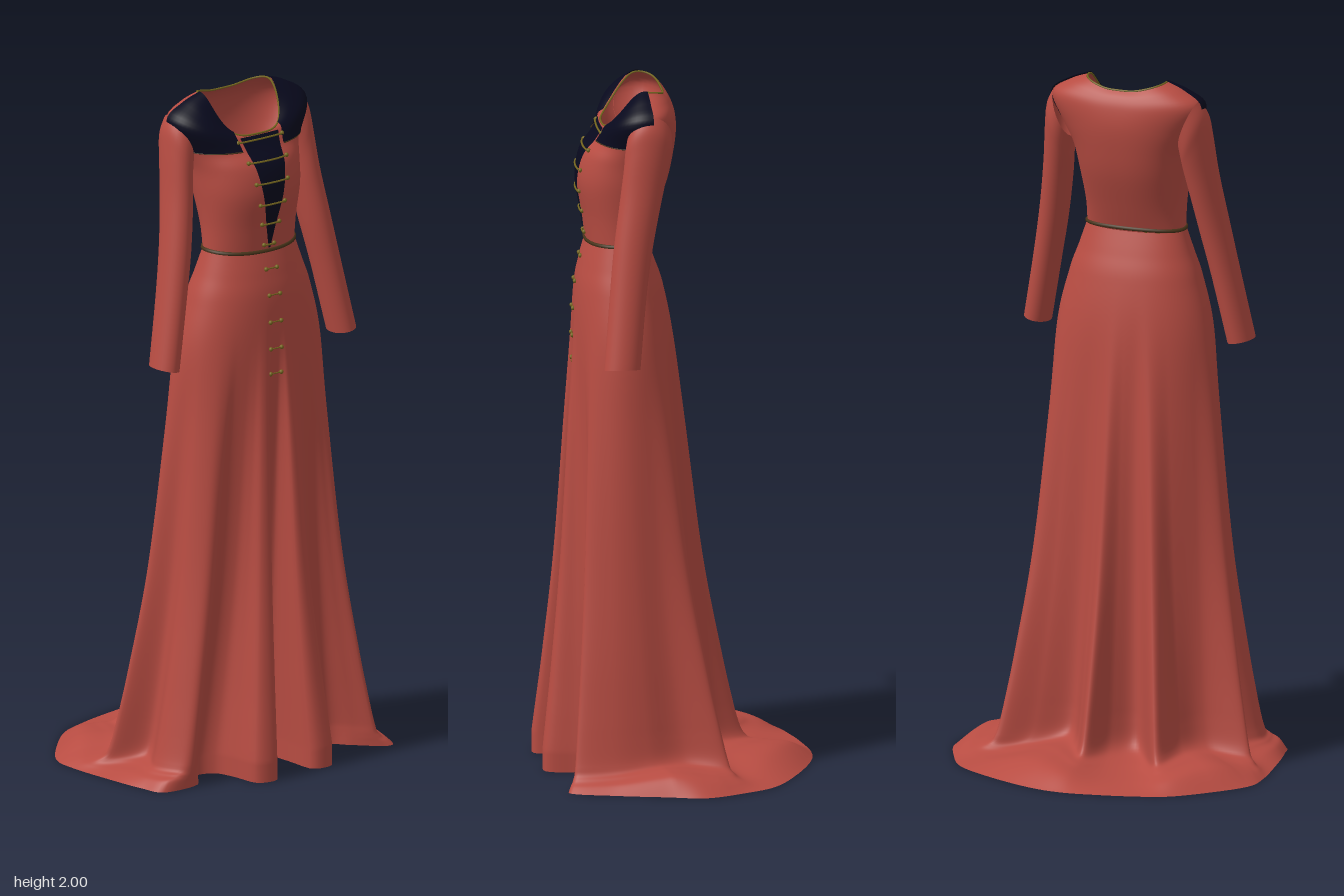
import * as THREE from 'three';

const { degToRad, lerp, clamp } = THREE.MathUtils;
const cloth = (color) => new THREE.MeshStandardMaterial({ color, side: THREE.DoubleSide });
const redCloth = cloth(0xb74c42);
const navyCloth = cloth(0x08091d);
const goldTrim = new THREE.MeshStandardMaterial({ color: 0x75661f });
const darkCord = new THREE.MeshStandardMaterial({ color: 0x48341a });

// Smooth interpolation through a list of rows, v from 0 to 1
function rowAt(rows, v) {
  const f = clamp(v, 0, 1) * (rows.length - 1);
  const i = Math.min(Math.floor(f), rows.length - 2), t = f - i;
  const at = (k) => rows[clamp(k, 0, rows.length - 1)];
  return at(i).map((b, k) => {
    const a = at(i - 1)[k], c = at(i + 1)[k], d = at(i + 2)[k];
    return b + 0.5 * t * (c - a + t * (2 * a - 5 * b + 4 * c - d + t * (3 * (b - c) + d - a)));
  });
}

// Radius of a rounded-square outline in direction phi (0 = front, toward +x)
function outline(phi, a, front, back, n) {
  const s = Math.abs(Math.sin(phi)) / a, c = Math.cos(phi);
  return (s ** n + (Math.abs(c) / (c > 0 ? front : back)) ** n) ** (-1 / n);
}

// Bodice rows, waist to neckline: front y, side y, back y, half width, front z, back z, centre z, squareness
const bodiceRows = [
  [1.54, 1.545, 1.55, 0.148, 0.25, 0.078, 0.15, 2.1],
  [1.62, 1.62, 1.62, 0.149, 0.26, 0.052, 0.15, 2.2],
  [1.72, 1.72, 1.72, 0.16, 0.275, 0.017, 0.14, 2.3],
  [1.80, 1.79, 1.80, 0.17, 0.262, 0, 0.12, 2.3],
  [1.845, 1.85, 1.87, 0.194, 0.23, -0.008, 0.1, 2.2],
  [1.87, 1.935, 1.925, 0.23, 0.213, -0.002, 0.09, 2.25],
  [1.88, 1.976, 1.957, 0.178, 0.208, 0.012, 0.09, 2.4],
  [1.885, 1.998, 1.975, 0.12, 0.205, 0.03, 0.09, 2.6],
];
function bodiceAt(phi, v) {
  const [yF, yS, yB, a, zF, zB, zc, n] = rowAt(bodiceRows, v);
  const c = Math.cos(phi), w = 1 - (1 - c * c) ** 2.5;
  const r = outline(phi, a, zF - zc, zc - zB, n);
  return new THREE.Vector3(r * Math.sin(phi), yS + ((c > 0 ? yF : yB) - yS) * w, zc + r * c);
}

// Fold line of the skirt near the floor: hip angle, x, z, then x, z of the spread hem
const foldLine = [
  [0, 0, 0.18], [5, 0.04, 0.2], [9, 0.055, 0.28], [13, 0.067, 0.37], [19, 0.135, 0.375],
  [26, 0.157, 0.29], [34, 0.178, 0.235], [46, 0.24, 0.22], [54, 0.29, 0.27], [61, 0.335, 0.31, 0.38, 0.335],
  [73, 0.345, 0.2, 0.425, 0.2], [86, 0.33, 0.1, 0.455, 0.06], [100, 0.3, 0, 0.477, -0.05],
  [115, 0.315, -0.125, 0.435, -0.16], [130, 0.22, -0.08, 0.37, -0.26], [150, 0.12, -0.04, 0.24, -0.335],
  [167, 0.06, -0.13, 0.1, -0.388], [177, 0.015, -0.195, 0, -0.4], [190, -0.03, -0.1, -0.1, -0.385],
  [202, -0.1, -0.06, -0.2, -0.36], [215, -0.2, -0.185, -0.3, -0.32], [230, -0.23, -0.07, -0.4, -0.225],
  [250, -0.28, 0, -0.47, -0.13], [265, -0.4, 0.03, -0.476, -0.04], [278, -0.31, 0.1, -0.455, 0.1],
  [290, -0.36, 0.2, -0.43, 0.22], [299, -0.33, 0.29, -0.4, 0.29], [306, -0.285, 0.29],
  [315, -0.235, 0.222], [326, -0.178, 0.24], [334, -0.155, 0.3], [341, -0.135, 0.38],
  [347, -0.067, 0.385], [351, -0.055, 0.28], [355, -0.04, 0.2], [360, 0, 0.18],
].map(([angle, x, z, hemX = x, hemZ = z]) => [angle, x, z, hemX, hemZ]);

// Skirt rows, hem to waist: y, half width, front z, back z of the hip oval, fold weight, hem spread, lift
const skirtRows = [
  [0.002, 0.235, 0.29, 0, 1, 1, 0],
  [0.015, 0.235, 0.29, 0, 1, 0.7, 0.035],
  [0.03, 0.235, 0.29, 0, 1, 0.35, 0.03],
  [0.06, 0.235, 0.29, 0, 1, 0.06, 0.01],
  [0.15, 0.235, 0.29, 0, 0.9, 0, 0],
  [0.3, 0.235, 0.29, 0, 0.73, 0, 0],
  [0.6, 0.235, 0.29, 0, 0.44, 0, 0],
  [1.0, 0.235, 0.29, 0, 0.18, 0, 0],
  [1.25, 0.232, 0.288, 0.004, 0.03, 0, 0],
  [1.4, 0.2, 0.282, 0.027, 0, 0, 0],
  [1.48, 0.172, 0.268, 0.053, 0, 0, 0],
  [1.545, 0.15, 0.251, 0.077, 0, 0, 0],
];
function skirtAt(phi, v) {
  const [y, a, zF, zB, weight, spread, lift] = rowAt(skirtRows, v);
  const deg = ((phi * 180 / Math.PI) + 360) % 360;
  const i = foldLine.findIndex((p, k) => k > 0 && deg <= p[0]);
  const [from, to] = [foldLine[i - 1][0], foldLine[i][0]];
  const [, x, z, hemX, hemZ] = rowAt(foldLine, (i - 1 + (deg - from) / (to - from)) / (foldLine.length - 1));
  const r = outline(phi, a, zF - 0.15, 0.15 - zB, 2.1);
  const t = Math.max(0, spread), w = clamp(weight, 0, 1);
  const trail = Math.min(1, Math.hypot(hemX - x, hemZ - z) / 0.15);
  const rise = Math.max(0, lift) * trail * (0.5 + 0.5 * Math.sin(5 * phi));
  return new THREE.Vector3(
    lerp(r * Math.sin(phi), lerp(x, hemX, t), w),
    Math.max(0, y) + rise,
    lerp(0.15 + r * Math.cos(phi), lerp(z, hemZ, t), w));
}

// Sleeve rows, shoulder to cuff: inner x, inner y, outer x, outer y, centre z, half depth
const sleeveRows = [
  [0.168, 1.81, 0.222, 1.952, 0.085, 0.064],
  [0.174, 1.77, 0.243, 1.912, 0.09, 0.067],
  [0.178, 1.735, 0.253, 1.85, 0.098, 0.064],
  [0.188, 1.67, 0.266, 1.73, 0.115, 0.06],
  [0.21, 1.55, 0.288, 1.59, 0.138, 0.056],
  [0.238, 1.42, 0.315, 1.44, 0.156, 0.053],
  [0.278, 1.225, 0.354, 1.24, 0.176, 0.052],
];
const sleeveAt = (side) => (theta, v) => {
  const [xi, yi, xo, yo, z, h] = rowAt(sleeveRows, v);
  const c = Math.cos(theta) / 2;
  return new THREE.Vector3(side * ((xi + xo) / 2 + (xo - xi) * c), (yi + yo) / 2 + (yo - yi) * c,
    z + side * h * Math.sin(theta));
};

// Grid surface from a point rule; closed grids join their last column to the first
function surface(name, point, cols, rows, material, closed) {
  const pos = [], index = [], w = closed ? cols : cols + 1;
  for (let j = 0; j <= rows; j++)
    for (let i = 0; i < w; i++) pos.push(...point(i / cols, j / rows).toArray());
  for (let j = 0; j < rows; j++)
    for (let i = 0; i < cols; i++) {
      const a = j * w + i, b = j * w + (i + 1) % w;
      index.push(a, b, b + w, a, b + w, a + w);
    }
  const g = new THREE.BufferGeometry();
  g.setAttribute('position', new THREE.Float32BufferAttribute(pos, 3));
  g.setIndex(index);
  g.computeVertexNormals();
  const mesh = new THREE.Mesh(g, material);
  mesh.name = name;
  return mesh;
}
const around = (at) => (u, v) => at((u * 2 - 1) * Math.PI, v);

function cord(name, points, radius, material, closed = false) {
  const curve = new THREE.CatmullRomCurve3(points, closed);
  const mesh = new THREE.Mesh(new THREE.TubeGeometry(curve, points.length * 2, radius, 6, closed), material);
  mesh.name = name;
  return mesh;
}

// Point lifted off the bodice along its normal
function liftedBodice(phi, v, d) {
  const e = 0.004, p = bodiceAt(phi, v);
  const du = bodiceAt(phi + e, v).sub(bodiceAt(phi - e, v));
  const dv = bodiceAt(phi, Math.min(1, v + e)).sub(bodiceAt(phi, v - e));
  return p.addScaledVector(du.cross(dv).normalize(), d);
}

// Point on the front of a surface at a given x and y
function frontPoint(at, x, y, d) {
  let p, phi = 0;
  for (let k = 0; k < 6; k++) {
    let lo = 0, hi = 1;
    for (let i = 0; i < 24; i++) {
      const mid = (lo + hi) / 2;
      if (at(phi, mid).y < y) lo = mid; else hi = mid;
    }
    p = at(phi, lo);
    const r = Math.abs(phi) > 1e-6 ? p.x / Math.sin(phi) : p.z - 0.13;
    phi = Math.asin(clamp(x / r, -0.95, 0.95));
  }
  p.z += d;
  return p;
}

export function createModel() {
  const dress = new THREE.Group();
  dress.name = 'dress';
  dress.add(surface('skirt', around(skirtAt), 288, 88, redCloth, true));
  dress.add(surface('bodice', around(bodiceAt), 96, 42, redCloth, true));

  // Sleeves and shoulder patches
  for (const side of [1, -1]) {
    const label = side > 0 ? 'left' : 'right';
    dress.add(surface(label + 'Sleeve', around(sleeveAt(side)), 32, 36, redCloth, true));
    const patchPoint = (u, v, d) => {
      const k = side > 0 ? u : 1 - u;
      return liftedBodice(side * degToRad(lerp(30 + 9 * v, 93, k)), (4 + 3 * v) / 7, d);
    };
    dress.add(surface(label + 'ShoulderPatch', (u, v) => patchPoint(u, v, 0.005), 20, 18, navyCloth, false));
    const edge = [];
    for (let i = 0; i <= 12; i++) edge.push(patchPoint(i / 12, 0, 0.004));
    dress.add(cord(label + 'PatchStitching', edge, 0.002, darkCord));
  }

  // Tapering centre panel
  const panelWidth = (y) => 0.003 + 0.064 * (y - 1.555) / 0.328;
  dress.add(surface('centrePanel', (u, v) => {
    const y = 1.555 + 0.328 * v;
    return frontPoint(bodiceAt, (u * 2 - 1) * panelWidth(y), y, 0.004);
  }, 10, 26, navyCloth, false));

  // Neck trim and waist cord
  const neck = [], waist = [];
  for (let i = 0; i < 48; i++) {
    const phi = i / 48 * Math.PI * 2;
    neck.push(bodiceAt(phi, 1));
    waist.push(bodiceAt(phi, 0.015));
  }
  dress.add(cord('neckTrim', neck, 0.003, goldTrim, true));
  dress.add(cord('waistCord', waist, 0.006, darkCord, true));

  // Lacing across the panel, with a stud at each end
  const studShape = new THREE.SphereGeometry(0.0065, 10, 8);
  const addStud = (name, p) => {
    const stud = new THREE.Mesh(studShape, goldTrim);
    stud.name = name;
    stud.position.copy(p);
    dress.add(stud);
  };
  for (const y of [1.872, 1.818, 1.757, 1.692, 1.63, 1.565]) {
    const w = panelWidth(y) + 0.013;
    const line = [-1, -0.5, 0, 0.5, 1].map((s) => frontPoint(bodiceAt, s * w, y, 0.006));
    dress.add(cord('lace', line, 0.003, goldTrim));
    for (const s of [-1, 1]) addStud('laceStud', frontPoint(bodiceAt, s * w, y, 0.002));
  }

  // Paired fasteners down the skirt front
  for (const y of [1.495, 1.42, 1.34, 1.26, 1.185]) {
    const ends = [-0.019, 0.019].map((x) => frontPoint(skirtAt, x, y, 0.002));
    dress.add(cord('fastenerLoop', ends, 0.002, goldTrim));
    ends.forEach((p) => addStud('fastenerStud', p));
  }
  return dress;
}
